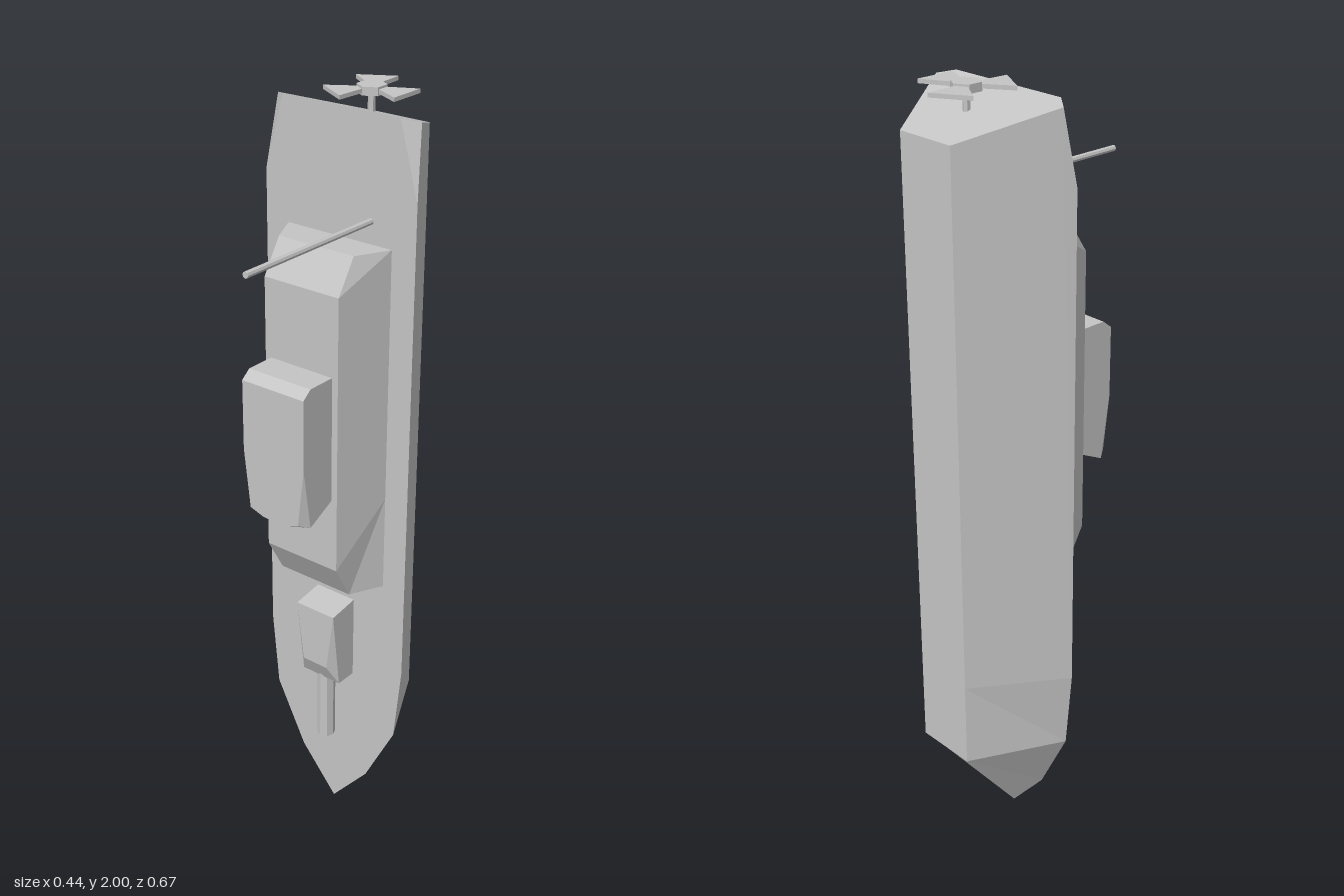
import * as THREE from 'three';

const grey = new THREE.MeshStandardMaterial({ color: 0xc4c4c4 });
grey.name = 'ship grey';

// Faceted solid mirrored in x: named points of the +x half and its flat faces.
function mirroredSolid(name, points, faces) {
  const all = Object.values(points);
  const mean = (i) => all.reduce((sum, p) => sum + p[i], 0) / all.length;
  const center = new THREE.Vector3(0, mean(1), mean(2));
  const positions = [];
  for (const side of [1, -1]) {
    for (const face of faces) {
      const v = face.split(' ').map((key) => {
        const [x, y, z] = points[key];
        return new THREE.Vector3(x * side, y, z);
      });
      for (let i = 1; i < v.length - 1; i++) {
        const [a, b, c] = [v[0], v[i], v[i + 1]];
        const normal = b.clone().sub(a).cross(c.clone().sub(a));
        const outward = normal.dot(a.clone().sub(center)) > 0;
        for (const p of outward ? [a, b, c] : [a, c, b]) positions.push(p.x, p.y, p.z);
      }
    }
  }
  const geometry = new THREE.BufferGeometry();
  geometry.setAttribute('position', new THREE.Float32BufferAttribute(positions, 3));
  geometry.computeVertexNormals();
  return named(name, geometry);
}

function named(name, geometry) {
  const mesh = new THREE.Mesh(geometry, grey);
  mesh.name = name;
  return mesh;
}

// Rod with few sides, along y or z
function rod(name, radius, length, sides, x, y, z, alongZ = false) {
  const geometry = new THREE.CylinderGeometry(radius, radius, length, sides).toNonIndexed();
  geometry.computeVertexNormals();
  if (alongZ) geometry.rotateX(Math.PI / 2);
  const mesh = named(name, geometry);
  mesh.position.set(x, y, z);
  return mesh;
}

export function createModel() {
  const ship = new THREE.Group();
  ship.name = 'ship';

  // Hull: deck faces +z, bow points down
  ship.add(mirroredSolid('hull', {
    tip: [0, 0, -0.1], d1: [0.11, 0.13, -0.1], d2: [0.2, 0.31, -0.1], d3: [0.22, 0.52, -0.1],
    d4: [0.22, 1.79, -0.1], d5: [0.168, 1.975, -0.1], d6: [0, 1.975, -0.1],
    s: [0.205, 1.966, -0.128],
    k0: [0, 1.9, -0.335], k1: [0.082, 1.9, -0.335], g: [0.082, 0.53, -0.335],
    f: [0.082, 0.305, -0.335], m: [0, 0.305, -0.335],
  }, [
    'tip d1 d2 d3 d4 d5 d6', 'd3 d4 s k1 g', 'd4 d5 s', 'd6 d5 s k1 k0', 'k0 k1 g f m',
    'd3 g d2', 'g f d2', 'f d2 d1', 'f m d1', 'm d1 tip',
  ]));

  // Superstructure with sloping sides and ends
  ship.add(mirroredSolid('superstructure', {
    b0: [0, 0.765, -0.1], b1: [0.153, 0.765, -0.1], b2: [0.153, 1.02, -0.1],
    b3: [0.153, 1.67, -0.1], b4: [0, 1.67, -0.1],
    c0: [0, 0.765, -0.014], c1: [0.11, 0.765, -0.014], c3: [0.11, 1.67, -0.014], c4: [0, 1.67, -0.014],
    t0: [0, 0.86, 0.04], t1: [0.11, 0.86, 0.04], t3: [0.11, 1.585, 0.04], t4: [0, 1.585, 0.04],
  }, [
    't0 t1 t3 t4', 'c0 c1 t1 t0', 'c4 c3 t3 t4', 'b0 b1 c1 c0', 'b4 b3 c3 c4',
    'b3 c3 t3', 'b3 t3 t1 b2', 'b2 t1 c1', 'b2 c1 b1',
  ]));

  // Bridge with cut lower corners
  ship.add(mirroredSolid('bridge', {
    a0: [0, 1.055, 0.04], a1: [0.093, 1.055, 0.04], a2: [0.093, 1.383, 0.04], a3: [0, 1.383, 0.04],
    u2: [0.093, 1.383, 0.12], u3: [0, 1.383, 0.12],
    v0: [0, 1.01, 0.146], v1: [0.035, 1.012, 0.146], v2: [0.075, 1.025, 0.146],
    v3: [0.093, 1.18, 0.146], v4: [0.093, 1.362, 0.146], v5: [0, 1.362, 0.146],
    l0: [0, 1.015, 0.12], l1: [0.093, 1.015, 0.12],
  }, [
    'v0 v1 v2 v3 v4 v5', 'v5 v4 u2 u3', 'u3 u2 a2 a3', 'a1 a2 u2 v4 v3 l1',
    'v3 v2 l1', 'l1 v2 v1', 'l0 l1 v1 v0', 'a0 a1 l1 l0',
  ]));

  // Gun turret on the foredeck
  ship.add(mirroredSolid('gunTurret', {
    a0: [0, 0.45, -0.1], a1: [0.06, 0.45, -0.1], a2: [0.06, 0.685, -0.1], a3: [0, 0.685, -0.1],
    n0: [0, 0.45, -0.04], n1: [0.06, 0.45, -0.04],
    f0: [0, 0.505, -0.013], f1: [0.038, 0.505, -0.013], f2: [0.06, 0.672, -0.013], f3: [0, 0.672, -0.013],
  }, ['f0 f1 f2 f3', 'f3 f2 a2 a3', 'a1 a2 f2 n1', 'f2 f1 n1', 'n0 n1 f1 f0', 'a0 a1 n1 n0']));
  ship.add(rod('gunBarrel', 0.025, 0.22, 8, 0, 0.36, -0.061));

  // Mast standing off the aft deck
  ship.add(rod('mast', 0.008, 0.435, 8, 0.092, 1.725, 0.1175, true));

  // Three-bladed propeller behind the stern
  const propeller = new THREE.Group();
  propeller.name = 'propeller';
  propeller.position.set(0, 1.99, -0.217);
  propeller.add(rod('propellerShaft', 0.009, 0.08, 6, 0, -0.035, 0));
  propeller.add(rod('propellerHub', 0.036, 0.02, 6, 0, 0, 0));
  const outline = new THREE.Shape([[0.015, -0.007], [0.1, -0.05], [0.1, 0.05], [0.015, 0.007]]
    .map(([x, y]) => new THREE.Vector2(x, y)));
  const blade = new THREE.ExtrudeGeometry(outline, { depth: 0.01, bevelEnabled: false });
  blade.translate(0, 0, -0.005).rotateX(-Math.PI / 2);
  for (let i = 0; i < 3; i++) {
    const mesh = named('propellerBlade', blade);
    mesh.rotation.y = (i * 2 * Math.PI) / 3;
    propeller.add(mesh);
  }
  ship.add(propeller);
  return ship;
}
